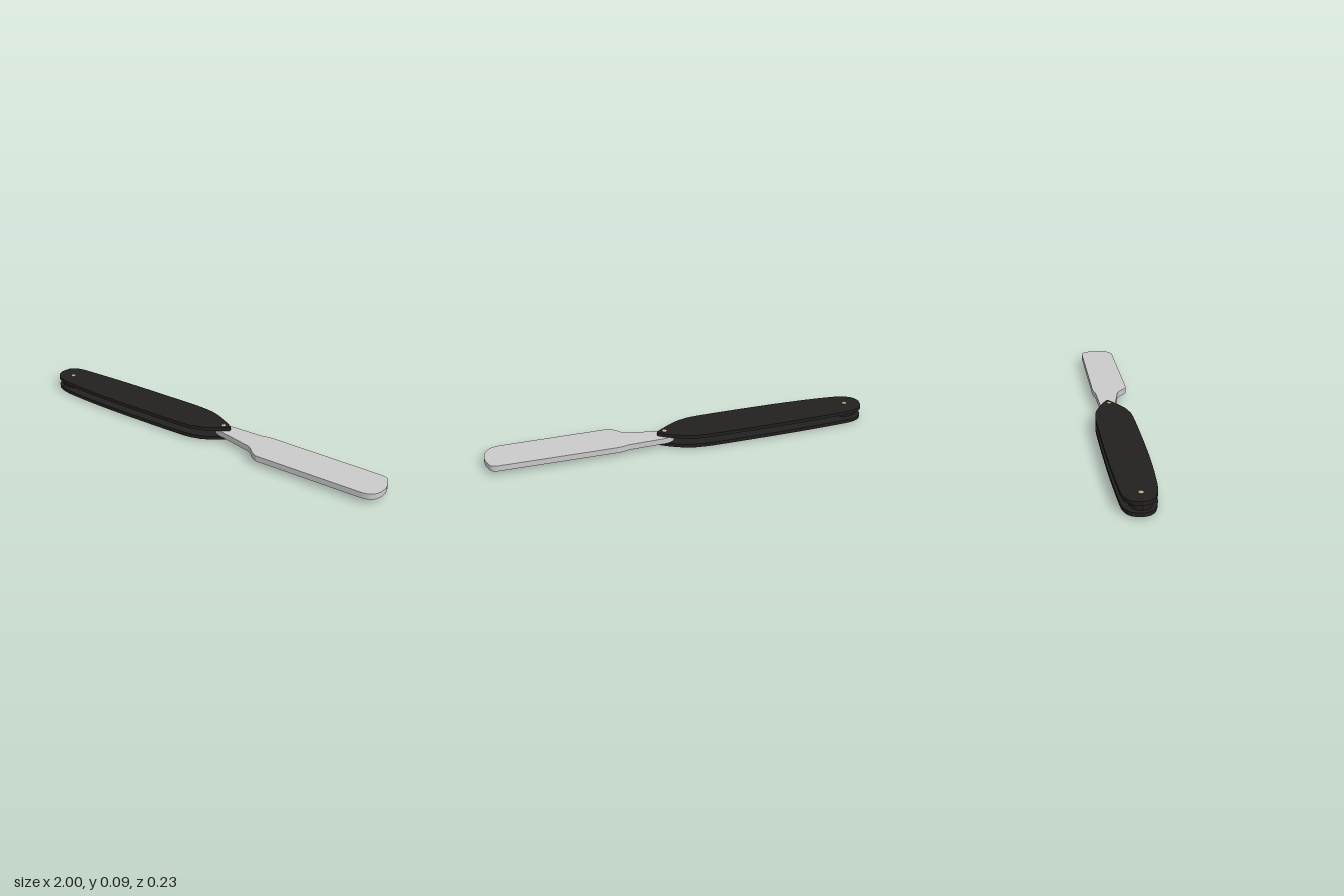
import * as THREE from 'three';

const material = (color) => new THREE.MeshStandardMaterial({ color });
const toPoints = (pairs) => pairs.map(([x, z]) => new THREE.Vector2(x, z));

// Flat plate with an outline in x and z, between two heights
function plate(name, outline, bottom, top, mat) {
  const geometry = new THREE.ExtrudeGeometry(new THREE.Shape(outline), {
    depth: top - bottom, bevelEnabled: false,
  });
  geometry.rotateX(Math.PI / 2);
  const mesh = new THREE.Mesh(geometry, mat);
  mesh.name = name;
  mesh.position.y = top;
  return mesh;
}

export function createModel() {
  const model = new THREE.Group();
  model.name = 'foldingRazor';
  const black = material(0x222120);
  const steel = material(0xcccccc);
  const brass = material(0xc2b48a);

  // Two matching handle scales with a smooth outline
  const handleOutline = new THREE.SplineCurve(toPoints([
    [-1, -0.02], [-0.985, -0.07], [-0.94, -0.098], [-0.85, -0.107], [-0.56, -0.115],
    [-0.185, -0.115], [-0.09, -0.111], [-0.02, -0.1], [0.055, -0.07], [0.11, -0.04],
    [0.13, -0.02], [0.1, 0.003], [0.03, 0.045], [-0.025, 0.066], [-0.13, 0.079],
    [-0.56, 0.079], [-0.85, 0.064], [-0.95, 0.043], [-0.988, 0.015], [-1, -0.02],
  ])).getPoints(120).slice(0, -1);
  model.add(plate('lowerScale', handleOutline, 0.007, 0.026, black));
  model.add(plate('upperScale', handleOutline, 0.06, 0.079, black));

  // Spacer block between the scales at the tail
  const spacerOutline = new THREE.SplineCurve(toPoints([
    [-0.98, -0.02], [-0.965, -0.055], [-0.92, -0.071], [-0.875, -0.06],
    [-0.865, -0.02], [-0.875, 0.018], [-0.92, 0.03], [-0.965, 0.015], [-0.98, -0.02],
  ])).getPoints(48).slice(0, -1);
  model.add(plate('spacer', spacerOutline, 0.026, 0.06, black));

  // Blade with its narrow tang, a stepped shoulder and a rounded nose
  const blade = new THREE.Shape();
  blade.moveTo(0.04, -0.022);
  blade.quadraticCurveTo(0.045, -0.055, 0.1, -0.061);
  blade.lineTo(0.29, -0.066);
  blade.quadraticCurveTo(0.32, -0.076, 0.36, -0.076);
  blade.lineTo(0.94, -0.071);
  blade.quadraticCurveTo(0.972, -0.069, 0.98, -0.052);
  blade.quadraticCurveTo(1.0, -0.01, 1.0, 0.02);
  blade.quadraticCurveTo(0.995, 0.108, 0.92, 0.112);
  blade.lineTo(0.36, 0.112);
  blade.quadraticCurveTo(0.34, 0.108, 0.315, 0.082);
  blade.quadraticCurveTo(0.3, 0.061, 0.275, 0.053);
  blade.lineTo(0.1, 0.014);
  blade.quadraticCurveTo(0.045, 0.005, 0.04, -0.022);
  model.add(plate('blade', blade.getPoints(8), 0.028, 0.059, steel));

  // Pins through the handle, with chamfered heads
  const pinGeometry = new THREE.LatheGeometry(toPoints([
    [0, 0], [0.009, 0.001], [0.013, 0.006], [0.013, 0.079], [0.009, 0.084], [0, 0.085],
  ]), 20);
  for (const [name, x] of [['tailPin', -0.915], ['pivotPin', 0.09]]) {
    const pin = new THREE.Mesh(pinGeometry, brass);
    pin.name = name;
    pin.position.set(x, 0, -0.018);
    model.add(pin);
  }
  return model;
}
